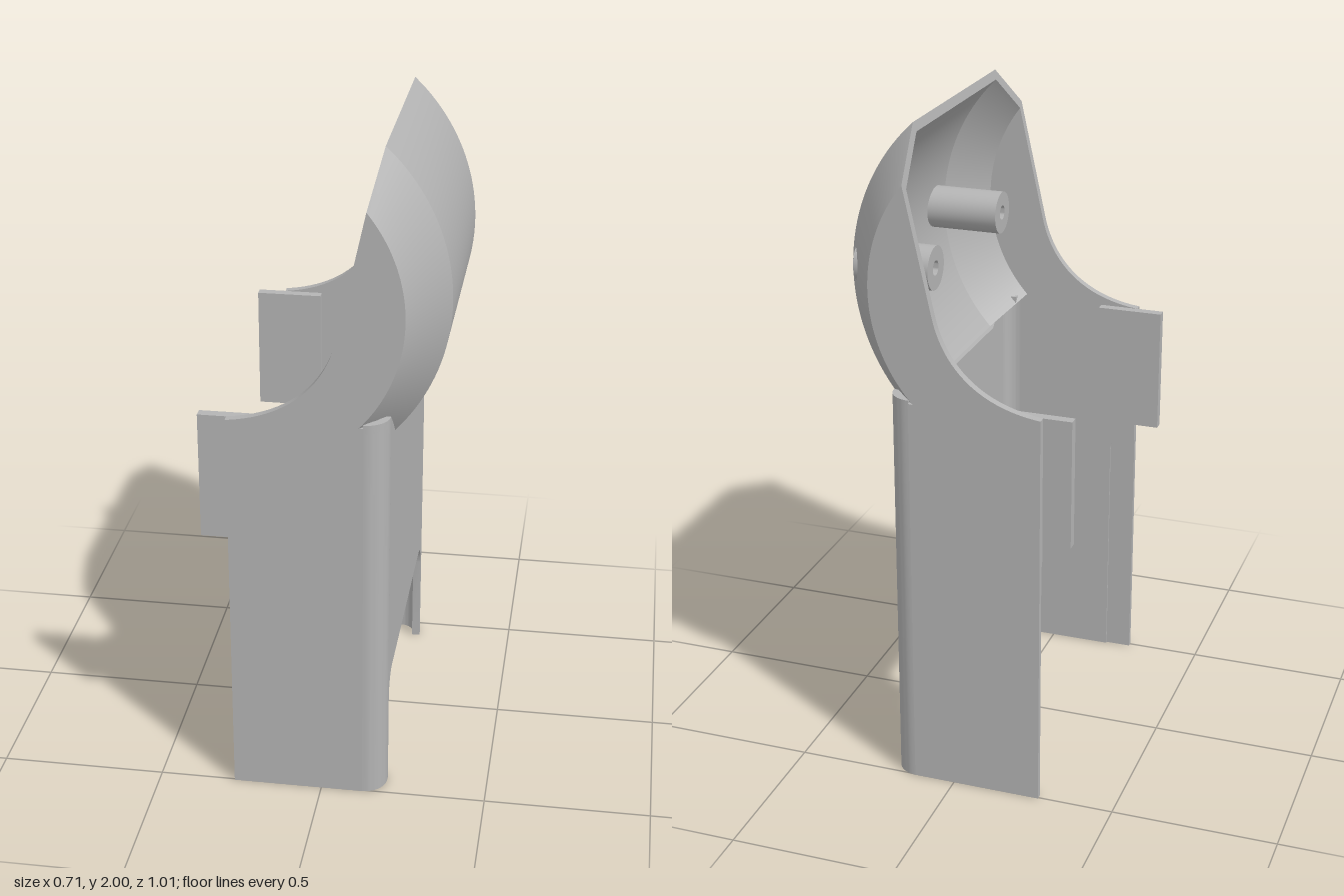
import * as THREE from 'three';
import { toCreasedNormals } from 'three/addons/utils/BufferGeometryUtils.js';

const CX = -0.25, CY = 1.56;          // drum axis
const A0 = THREE.MathUtils.degToRad(-42.5);
const WALL = 0.025, HALF = 0.505;

// Angle at which a drum circle meets the slanted opening plane
function cutAngle(r) {
  const px = 0.16 - CX, py = 2 - CY, dx = 0.22;
  const a = 1 + dx * dx, b = px * dx + py, c = px * px + py * py - r * r;
  const t = (-b + Math.sqrt(b * b - a * c)) / a;
  return Math.atan2(py + t, px + t * dx);
}

// Curved shell: a closed (z, radius) section swept round the drum axis
function drumGeometry() {
  const outer = [[-HALF, 0.49], [-0.34, 0.603], [0.34, 0.603], [HALF, 0.49]];
  const inner = [[-0.48, 0.477], [-0.33, 0.578], [0.33, 0.578], [0.48, 0.477]];
  const loop = [...outer, ...inner.slice().reverse()];
  const N = 40, pos = [], idx = [];
  const put = ([z, r], t) => {
    const a = A0 + (cutAngle(r) - A0) * t;
    pos.push(CX + r * Math.cos(a), CY + r * Math.sin(a), z);
  };
  loop.forEach((p, k) => {
    const q = loop[(k + 1) % loop.length], base = pos.length / 3;
    for (let j = 0; j <= N; j++) { put(p, j / N); put(q, j / N); }
    for (let j = 0; j < N; j++) {
      const a = base + 2 * j;
      idx.push(a, a + 2, a + 1, a + 1, a + 2, a + 3);
    }
  });
  // end caps at the opening and at the lower edge
  for (const t of [0, 1]) for (let i = 0; i < 3; i++) {
    const b = pos.length / 3;
    put(inner[i], t); put(inner[i + 1], t); put(outer[i + 1], t); put(outer[i], t);
    if (t) idx.push(b, b + 1, b + 2, b, b + 2, b + 3);
    else idx.push(b, b + 2, b + 1, b, b + 3, b + 2);
  }
  const g = new THREE.BufferGeometry();
  g.setAttribute('position', new THREE.Float32BufferAttribute(pos, 3));
  g.setIndex(idx);
  g.computeVertexNormals();
  return g;
}

// Side plate outline; the inner layer has a shallow slot by the free edge
function plateShape(slot) {
  const s = new THREE.Shape();
  if (slot) {
    s.moveTo(-0.27, 0.77);
    s.lineTo(-0.22, 0.77);
    s.quadraticCurveTo(-0.19, 0.77, -0.19, 0.73);
    s.lineTo(-0.19, 0);
  } else s.moveTo(-0.27, 0);
  s.lineTo(0.126, 0);
  s.lineTo(0.126, 1.23);
  s.absarc(CX, CY, 0.49, A0, cutAngle(0.49), false);
  s.lineTo(0.05, 1.5);
  s.bezierCurveTo(0.02, 1.36, -0.08, 1.25, -0.27, 1.23);
  s.closePath();
  return s;
}

const extrude = (shape, depth) => toCreasedNormals(
  new THREE.ExtrudeGeometry(shape, { depth, bevelEnabled: false, curveSegments: 20 }), 0.5);

// Quarter round in plan; ri = 0 gives a solid wedge
function cornerGeometry(side, ri, height) {
  const pts = [], n = 12, ro = 0.07;
  const at = (r, a) => new THREE.Vector2(0.125 + r * Math.cos(a), -side * (0.435 + r * Math.sin(a)));
  for (let i = 0; i <= n; i++) pts.push(at(ro, i / n * Math.PI / 2));
  if (ri) for (let i = n; i >= 0; i--) pts.push(at(ri, i / n * Math.PI / 2));
  else pts.push(at(0, 0));
  return extrude(new THREE.Shape(pts), height).rotateX(-Math.PI / 2);
}

// Rear wall with a rounded cut-out between the feet
function wallShape() {
  const s = new THREE.Shape();
  s.moveTo(-0.436, 0);
  s.lineTo(-0.42, 0);
  s.lineTo(-0.42, 0.29);
  s.quadraticCurveTo(-0.41, 0.36, -0.35, 0.365);
  s.lineTo(0.35, 0.365);
  s.quadraticCurveTo(0.41, 0.36, 0.42, 0.29);
  s.lineTo(0.42, 0);
  s.lineTo(0.436, 0);
  s.lineTo(0.436, 1.24);
  s.lineTo(0.34, 1.16);
  s.lineTo(-0.34, 1.16);
  s.lineTo(-0.436, 1.24);
  s.closePath();
  return s;
}

export function createModel() {
  const model = new THREE.Group();
  model.name = 'housingCover';
  const grey = new THREE.MeshStandardMaterial({ color: 0xb4b4b4, side: THREE.DoubleSide });
  grey.name = 'plain grey';
  const add = (name, geo, x = 0, y = 0, z = 0) => {
    const m = new THREE.Mesh(geo, grey);
    m.name = name;
    m.position.set(x, y, z);
    model.add(m);
    return m;
  };

  add('drumShell', drumGeometry());
  add('rearWall', extrude(wallShape(), WALL).rotateY(Math.PI / 2), 0.17);

  for (const side of [1, -1]) {
    const name = side > 0 ? 'front' : 'back';
    // side plate in two layers
    const skin = 0.018, liner = WALL - skin;
    add(name + 'Plate', extrude(plateShape(false), skin), 0, 0, side > 0 ? HALF - skin : -HALF);
    add(name + 'PlateLiner', extrude(plateShape(true), liner), 0, 0, side > 0 ? HALF - WALL : -HALF + skin);
    // rounded corner and the shelf closing its top
    add(name + 'Corner', cornerGeometry(side, 0.045, 1.24));
    add(name + 'CornerShelf', cornerGeometry(side, 0, 0.025), 0, 1.214, 0);
    // locating tab
    add(name + 'Tab', new THREE.BoxGeometry(0.205, 0.39, 0.03), -0.2525, 1.035, side * 0.466);
  }

  // hollow screw posts inside the drum
  const ring = new THREE.Shape();
  ring.absarc(0, 0, 0.065, 0, Math.PI * 2, false);
  const hole = new THREE.Path();
  hole.absarc(0, 0, 0.022, 0, Math.PI * 2, true);
  ring.holes.push(hole);
  for (const z of [-0.325, 0.245]) {
    add('screwPost', extrude(ring, 0.227).rotateY(Math.PI / 2), 0.105, 1.58, z);
  }
  return model;
}
